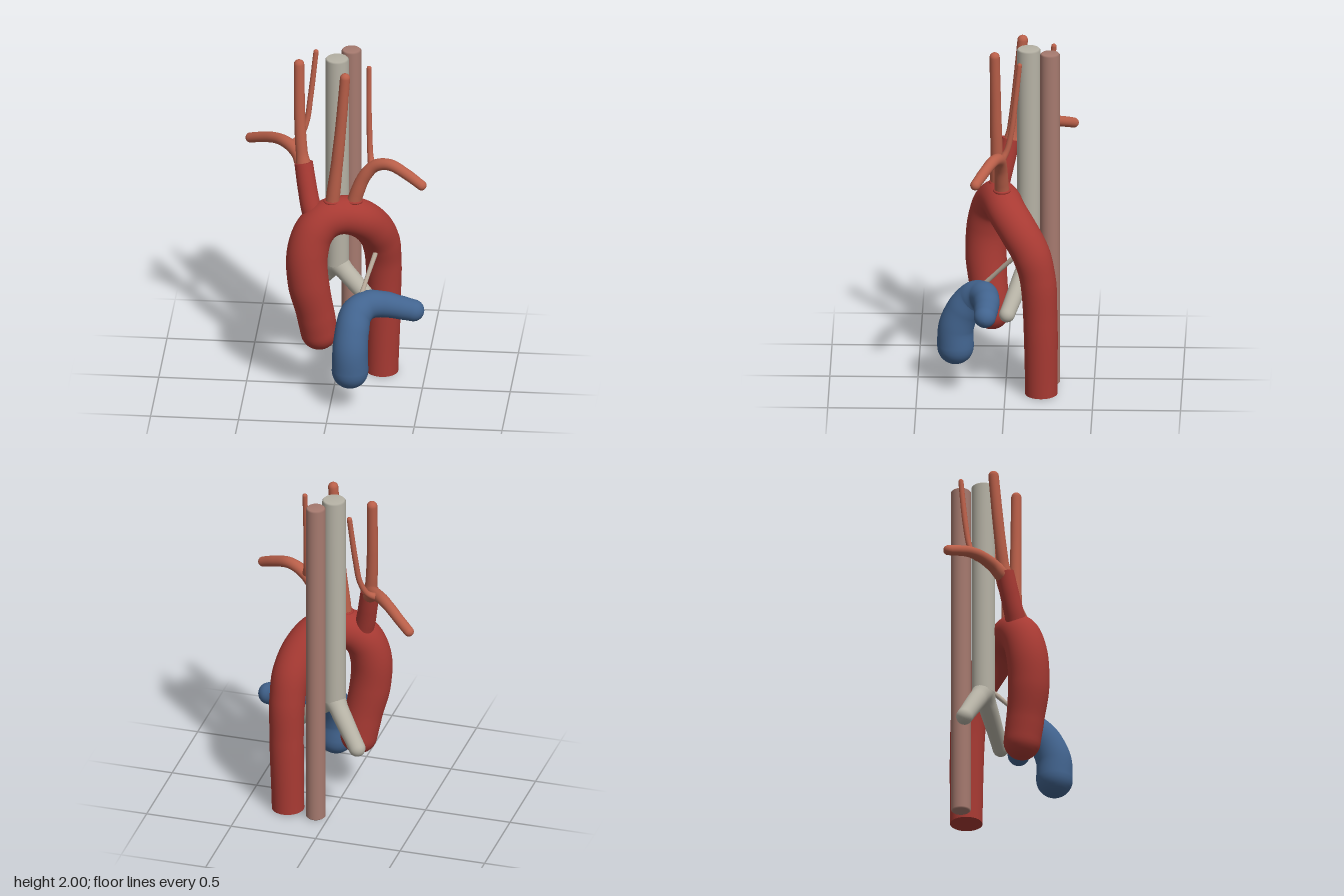
import * as THREE from 'three';

const mat = (name, color) => Object.assign(new THREE.MeshStandardMaterial({ color }), { name });

// Smooth tube through points [x, y, z, radius]; each end is 'round' or 'flat'
function vesselGeometry(points, startCap, endCap, steps, sides) {
  const curve = new THREE.CatmullRomCurve3(points.map(p => new THREE.Vector3(p[0], p[1], p[2])), false, 'centripetal');
  const frames = curve.computeFrenetFrames(steps, false);
  const radiusAt = t => {
    const f = t * (points.length - 1);
    const i = Math.min(Math.floor(f), points.length - 2);
    return THREE.MathUtils.lerp(points[i][3], points[i + 1][3], THREE.MathUtils.smoothstep(f - i, 0, 1));
  };
  const pos = [], idx = [];
  const addRing = (center, k, r, shift = 0) => {
    const c = center.clone().addScaledVector(frames.tangents[k], shift);
    for (let j = 0; j < sides; j++) {
      const a = j / sides * Math.PI * 2;
      const v = c.clone()
        .addScaledVector(frames.normals[k], Math.cos(a) * r)
        .addScaledVector(frames.binormals[k], Math.sin(a) * r);
      pos.push(v.x, v.y, v.z);
    }
  };
  const capSteps = 8;
  const start = curve.getPoint(0), end = curve.getPoint(1);
  const r0 = points[0][3], r1 = points[points.length - 1][3];
  let rings = 0;
  // Hemisphere leading into the tube
  if (startCap === 'round') {
    for (let i = 0; i < capSteps; i++, rings++) {
      const a = i / capSteps * Math.PI / 2;
      addRing(start, 0, Math.max(r0 * Math.sin(a), 0.0005), -r0 * Math.cos(a));
    }
  }
  for (let i = 0; i <= steps; i++, rings++) {
    const t = curve.getUtoTmapping(i / steps);
    addRing(curve.getPoint(t), i, radiusAt(t));
  }
  if (endCap === 'round') {
    for (let i = 1; i <= capSteps; i++, rings++) {
      const a = i / capSteps * Math.PI / 2;
      addRing(end, steps, Math.max(r1 * Math.cos(a), 0.0005), r1 * Math.sin(a));
    }
  }
  for (let i = 0; i < rings - 1; i++) {
    for (let j = 0; j < sides; j++) {
      const a = i * sides + j, b = i * sides + (j + 1) % sides;
      idx.push(a, b, a + sides, b, b + sides, a + sides);
    }
  }
  // Flat discs use their own vertices so their rims stay sharp
  const disc = (center, k, r, flip) => {
    const first = pos.length / 3;
    addRing(center, k, r);
    pos.push(center.x, center.y, center.z);
    for (let j = 0; j < sides; j++) {
      const a = first + j, b = first + (j + 1) % sides;
      if (flip) idx.push(b, a, first + sides);
      else idx.push(a, b, first + sides);
    }
  };
  if (startCap === 'flat') disc(start, 0, r0, true);
  if (endCap === 'flat') disc(end, steps, r1, false);
  const geo = new THREE.BufferGeometry();
  geo.setAttribute('position', new THREE.Float32BufferAttribute(pos, 3));
  geo.setIndex(idx);
  geo.computeVertexNormals();
  return geo;
}

// Upright tube with slightly bevelled flat ends
function pipeGeometry(r, y0, y1) {
  const b = 0.008;
  const geo = new THREE.LatheGeometry([[0, y0], [r - b, y0], [r, y0 + b], [r, y1 - b], [r - b, y1], [0, y1]]
    .map(p => new THREE.Vector2(p[0], p[1])), 40);
  return geo;
}

export function createModel() {
  const group = new THREE.Group();
  group.name = 'greatVessels';
  const red = mat('arterial red', 0xa83a33);
  const coral = mat('branch coral', 0xb95f49);
  const blue = mat('venous blue', 0x42648f);
  const grey = mat('airway grey', 0xb6b2a5);
  const pink = mat('gullet pink', 0xa67a6f);
  const tan = mat('ligament tan', 0xb5a797);

  const add = (name, geo, material) => {
    const mesh = new THREE.Mesh(geo, material);
    mesh.name = name;
    group.add(mesh);
    return mesh;
  };
  const vessel = (name, material, points, startCap = 'round', endCap = 'round', steps = 40, sides = 24) =>
    add(name, vesselGeometry(points, startCap, endCap, steps, sides), material);

  // Main arch: ascending limb, arch and descending limb
  vessel('aorta', red, [
    [-0.08, 0.375, 0.085, 0.105], [-0.1, 0.5, 0.1, 0.108], [-0.138, 0.7, 0.118, 0.117],
    [-0.145, 0.87, 0.11, 0.118], [-0.11, 1.0, 0.085, 0.115], [-0.04, 1.07, 0.055, 0.112],
    [0.05, 1.088, 0.025, 0.111], [0.14, 1.055, -0.01, 0.11], [0.21, 0.97, -0.075, 0.11],
    [0.25, 0.85, -0.145, 0.108], [0.262, 0.7, -0.185, 0.102], [0.262, 0.45, -0.2, 0.097],
    [0.252, 0.005, -0.205, 0.092],
  ], 'round', 'flat', 110, 40);

  // Right-hand trunk and its branches
  vessel('brachiocephalicTrunk', red, [
    [-0.1, 1.03, 0.06, 0.062], [-0.13, 1.13, 0.04, 0.057], [-0.155, 1.25, 0.01, 0.055], [-0.178, 1.385, -0.022, 0.053],
  ], 'flat', 'flat');
  vessel('rightCarotid', coral, [
    [-0.175, 1.35, -0.02, 0.045], [-0.19, 1.45, -0.035, 0.034], [-0.203, 1.65, -0.058, 0.032], [-0.21, 1.97, -0.088, 0.03],
  ]);
  vessel('rightSubclavian', coral, [
    [-0.18, 1.36, -0.03, 0.045], [-0.22, 1.41, -0.095, 0.038], [-0.29, 1.432, -0.175, 0.034],
    [-0.36, 1.423, -0.245, 0.031], [-0.44, 1.39, -0.315, 0.03], [-0.512, 1.356, -0.37, 0.029],
  ]);
  vessel('rightVertebral', coral, [
    [-0.255, 1.43, -0.165, 0.022], [-0.215, 1.46, -0.195, 0.017], [-0.18, 1.54, -0.222, 0.016],
    [-0.158, 1.7, -0.245, 0.016], [-0.13, 1.965, -0.267, 0.015],
  ]);

  // Branches rising straight from the arch
  vessel('leftCarotid', coral, [
    [-0.012, 1.13, 0.05, 0.042], [-0.003, 1.22, 0.052, 0.039], [0.022, 1.45, 0.056, 0.034],
    [0.045, 1.7, 0.06, 0.031], [0.066, 1.97, 0.064, 0.029],
  ]);
  vessel('leftSubclavian', coral, [
    [0.1, 1.12, 0.02, 0.043], [0.13, 1.23, 0.024, 0.04], [0.175, 1.34, 0.027, 0.037], [0.235, 1.41, 0.034, 0.035],
    [0.32, 1.435, 0.065, 0.033], [0.42, 1.405, 0.115, 0.031], [0.51, 1.362, 0.163, 0.029],
  ]);
  vessel('leftVertebral', coral, [
    [0.215, 1.4, 0.022, 0.022], [0.203, 1.46, -0.01, 0.017], [0.196, 1.58, -0.036, 0.016],
    [0.191, 1.75, -0.057, 0.015], [0.19, 1.968, -0.08, 0.014],
  ]);
  // Raised collars where the branches leave the larger vessels
  for (const [x, y, z, r] of [[-0.01, 1.185, 0.051, 0.04], [0.115, 1.18, 0.022, 0.042]]) {
    const collar = add('branchCollar', new THREE.TorusGeometry(r, 0.008, 10, 32), red);
    collar.position.set(x, y, z);
    collar.rotation.x = Math.PI / 2;
  }

  // Pulmonary trunk bending into its left branch
  vessel('pulmonaryTrunk', blue, [
    [0.115, 0.235, 0.285, 0.104], [0.115, 0.35, 0.282, 0.101], [0.122, 0.46, 0.24, 0.097],
    [0.14, 0.54, 0.18, 0.092], [0.2, 0.575, 0.128, 0.083], [0.29, 0.573, 0.106, 0.075],
    [0.38, 0.557, 0.105, 0.068], [0.458, 0.544, 0.11, 0.063],
  ], 'round', 'round', 70, 36);

  // Windpipe with its two main branches
  add('trachea', pipeGeometry(0.067, 0.7, 2), grey).position.set(0.003, 0, -0.128);
  vessel('leftBronchus', grey, [
    [0.003, 0.715, -0.128, 0.064], [0.06, 0.66, -0.1, 0.053], [0.25, 0.48, -0.01, 0.045]]);
  vessel('rightBronchus', grey, [
    [0.003, 0.715, -0.128, 0.064], [-0.045, 0.65, -0.165, 0.054], [-0.17, 0.48, -0.25, 0.048]]);

  // Gullet
  add('esophagus', pipeGeometry(0.056, 0, 2), pink).position.set(0.074, 0, -0.25);

  // Thin ligament joining the trunk to the arch
  vessel('ligament', tan, [[0.16, 0.62, 0.13, 0.014], [0.19, 0.71, 0.05, 0.012], [0.228, 0.815, -0.045, 0.014]]);

  return group;
}
